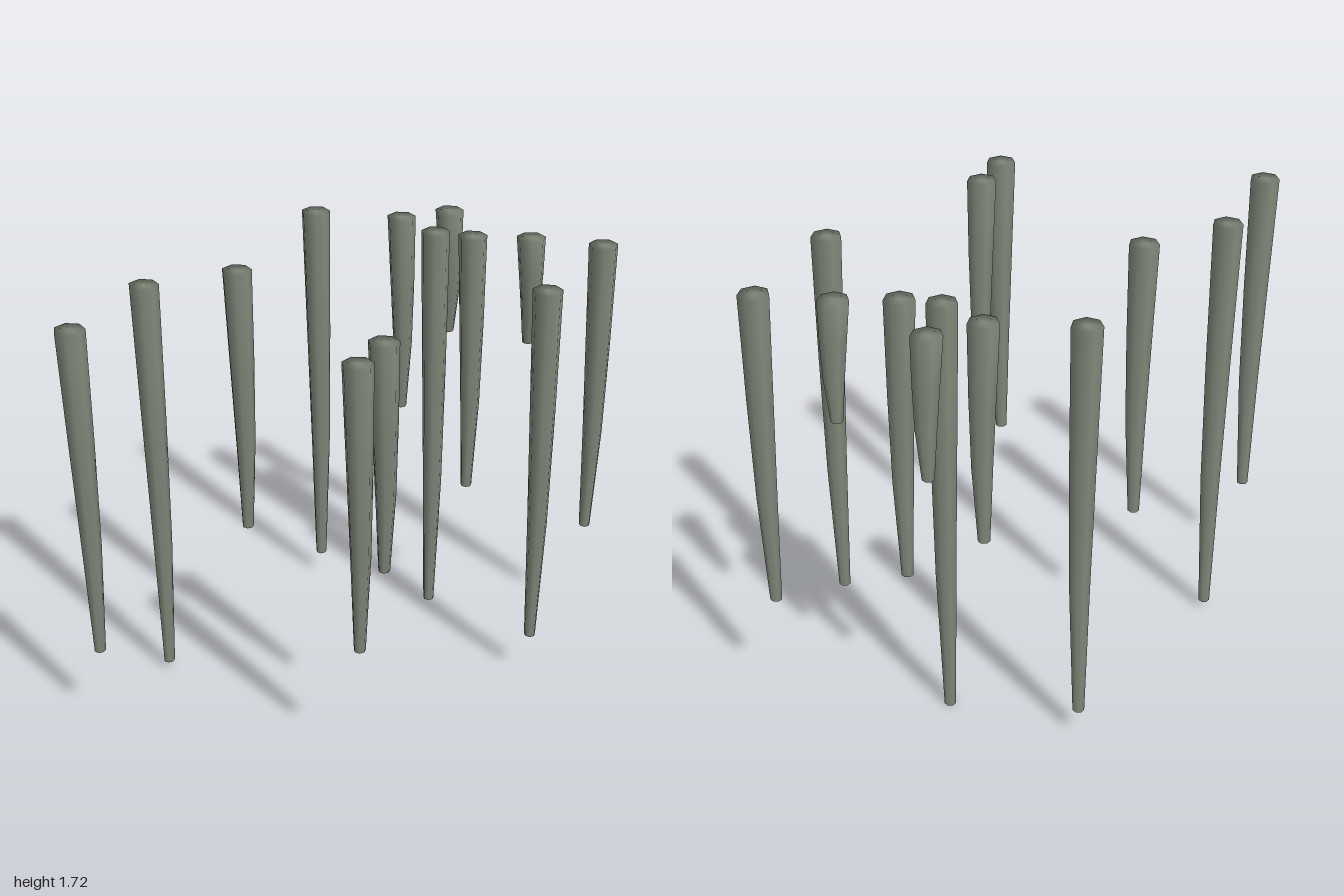
import * as THREE from 'three';
import { mergeVertices } from 'three/addons/utils/BufferGeometryUtils.js';

const TOP = 1.715;

// [top x, top z, height of the tip]
const ROOTS = [
  [-0.945, -0.433, 0.345], [-0.517, -0.533, 0.03], [-0.192, -0.383, 0.59],
  [0.43, -0.577, 0.105], [0.62, -0.29, 0.86], [0.8, -0.195, 1.175],
  [0.593, -0.09, 0], [0.66, 0.042, 0.59], [0.8, 0.217, 1.255],
  [0.932, 0.462, 0.45], [0.448, 0.57, 0.19], [-0.277, 0.427, 0.77],
  [-0.46, 0.475, 0.53],
];

// Rings of one root: depth fraction, x drift, z drift, radius
const RINGS = [
  [0, 0, 0, 0.057],
  [0.33, 0.011, 0, 0.049],
  [0.65, 0.023, -0.004, 0.039],
  [1, 0.036, -0.018, 0.0225],
];

// A closed, slightly bent taper of unit length, hanging from y = 0
function rootGeometry() {
  const geo = new THREE.CylinderGeometry(1, 1, 3, 7, 3);
  const p = geo.attributes.position;
  for (let i = 0; i < p.count; i++) {
    const [depth, dx, dz, r] = RINGS[Math.round(1.5 - p.getY(i))];
    p.setXYZ(i, p.getX(i) * r + dx, -depth, p.getZ(i) * r + dz);
  }
  // weld the caps to the sides so the shading is smooth all over
  geo.deleteAttribute('normal');
  geo.deleteAttribute('uv');
  const welded = mergeVertices(geo, 1e-4);
  welded.computeVertexNormals();
  return welded;
}

export function createModel() {
  const group = new THREE.Group();
  group.name = 'hangingRoots';
  const material = new THREE.MeshStandardMaterial({ color: 0x7f8779 });
  material.name = 'greyGreen';
  const unit = rootGeometry();

  ROOTS.forEach(([x, z, tip], i) => {
    // stretch a copy of the unit root to this root's length
    const geo = unit.clone().scale(1, TOP - tip, 1);
    geo.computeVertexNormals();
    const root = new THREE.Mesh(geo, material);
    root.name = `root${i + 1}`;
    root.position.set(x, TOP, z);
    group.add(root);
  });
  return group;
}
